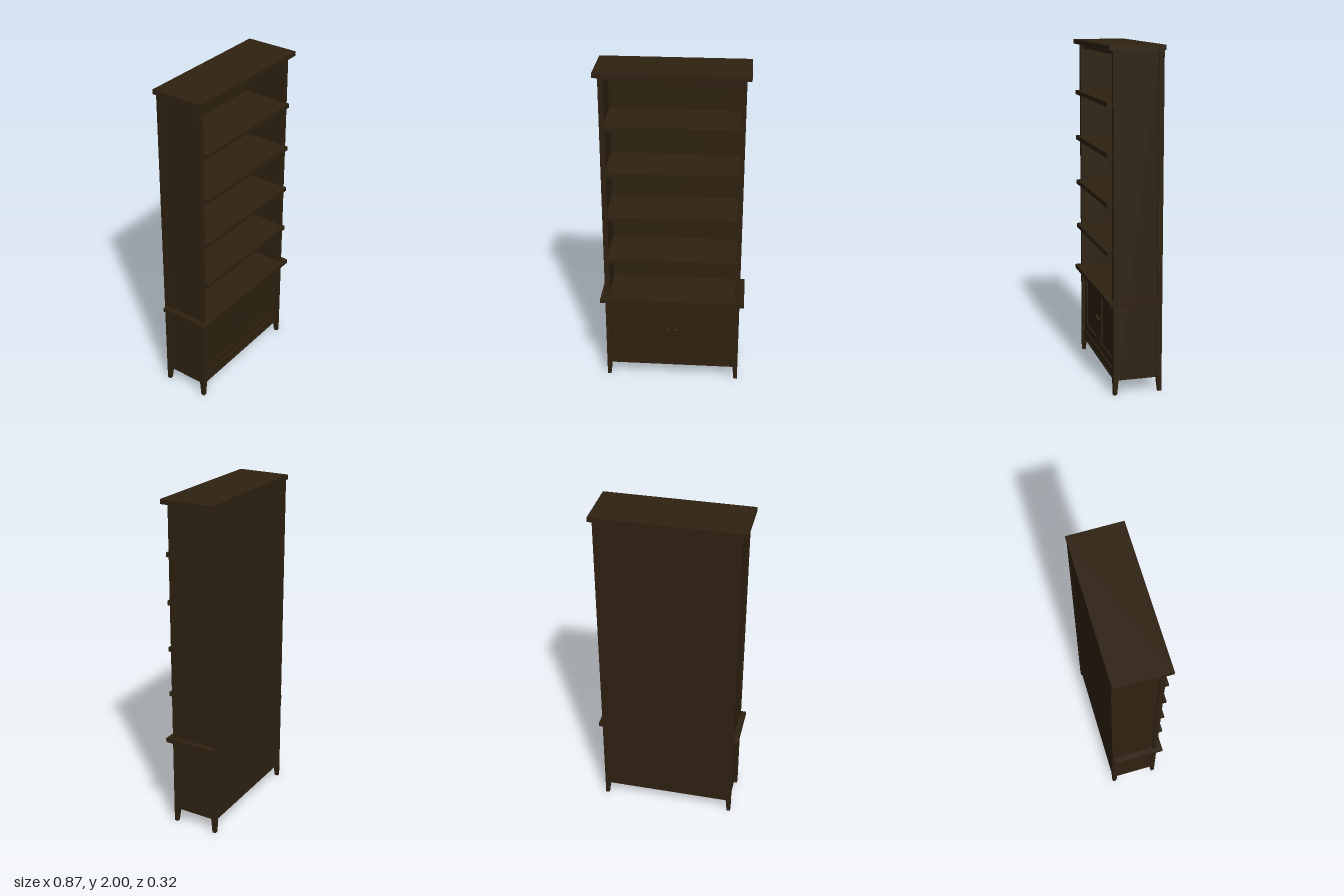
import * as THREE from 'three';

export function createModel() {
  const model = new THREE.Group();
  model.name = 'bookcase';
  const wood = new THREE.MeshStandardMaterial({ color: 0x2e2110 });
  wood.name = 'dark wood';

  const add = (name, geometry, parent = model) => {
    const mesh = new THREE.Mesh(geometry, wood);
    mesh.name = name;
    parent.add(mesh);
    return mesh;
  };
  // Box given by its limits on each axis
  const box = (name, x0, x1, y0, y1, z0, z1, parent = model) => {
    const g = new THREE.BoxGeometry(x1 - x0, y1 - y0, z1 - z0);
    g.translate((x0 + x1) / 2, (y0 + y1) / 2, (z0 + z1) / 2);
    return add(name, g, parent);
  };

  // Corner posts with feet tapered on their inner faces
  const post = 0.03, footTop = 0.085;
  for (const sx of [-1, 1]) {
    for (const front of [true, false]) {
      const x = sx * 0.395, z = front ? 0.115 : -0.145;
      const sz = front ? 1 : -1;
      box('cornerPost', x - post / 2, x + post / 2, footTop, 1.975, z - post / 2, z + post / 2);
      const foot = new THREE.BoxGeometry(post, footTop, post);
      const p = foot.attributes.position;
      for (let i = 0; i < p.count; i++) {
        if (p.getY(i) > 0) continue;
        if (p.getX(i) * sx < 0) p.setX(i, p.getX(i) + sx * 0.008);
        if (p.getZ(i) * sz < 0) p.setZ(i, p.getZ(i) + sz * 0.008);
      }
      foot.computeVertexNormals();
      foot.translate(x, footTop / 2, z);
      add('taperedFoot', foot);
    }
    // Side panel set in between the posts
    const a = sx * 0.387, b = sx * 0.402;
    box('sidePanel', Math.min(a, b), Math.max(a, b), footTop, 1.975, -0.13, 0.1);
  }

  // Carcass
  box('backPanel', -0.38, 0.38, footTop, 1.975, -0.158, -0.143);
  box('bottomBoard', -0.388, 0.388, footTop, 0.1, -0.145, 0.124);
  box('apron', -0.38, 0.38, 0.1, 0.137, 0.1, 0.12);
  box('topRail', -0.38, 0.38, 1.947, 1.975, 0.1, 0.115);
  box('topBoard', -0.437, 0.437, 1.973, 2, -0.16, 0.16);
  box('cabinetTop', -0.437, 0.437, 0.542, 0.567, -0.15, 0.16);

  // Shelves
  for (let i = 0; i < 4; i++) {
    const y = 0.836 + i * 0.281;
    box('shelf', -0.39, 0.39, y - 0.013, y + 0.013, -0.145, 0.16);
  }

  // Framed doors with round knobs
  const knobProfile = [[0, 0], [0.006, 0], [0.006, 0.007], [0.011, 0.01], [0.013, 0.014], [0.01, 0.019], [0, 0.021]]
    .map(([r, h]) => new THREE.Vector2(r, h));
  const y0 = 0.139, y1 = 0.541, stile = 0.048, halfWidth = 0.188;
  for (const sx of [-1, 1]) {
    const door = new THREE.Group();
    door.name = sx > 0 ? 'leftDoor' : 'rightDoor';
    door.position.x = sx * 0.1905;
    model.add(door);
    const outline = new THREE.Shape([
      new THREE.Vector2(-halfWidth, y0), new THREE.Vector2(halfWidth, y0),
      new THREE.Vector2(halfWidth, y1), new THREE.Vector2(-halfWidth, y1)]);
    const w = halfWidth - stile;
    outline.holes.push(new THREE.Path([
      new THREE.Vector2(-w, y0 + stile), new THREE.Vector2(-w, y1 - stile),
      new THREE.Vector2(w, y1 - stile), new THREE.Vector2(w, y0 + stile)]));
    const frame = new THREE.ExtrudeGeometry(outline, { depth: 0.018, bevelEnabled: false });
    frame.translate(0, 0, 0.095);
    add('doorFrame', frame, door);
    box('doorPanel', -w - 0.005, w + 0.005, y0 + 0.04, y1 - 0.04, 0.097, 0.105, door);
    const knob = new THREE.LatheGeometry(knobProfile, 20);
    knob.rotateX(Math.PI / 2);
    knob.translate(-sx * (0.1905 - 0.025), 0.34, 0.112);
    add('knob', knob, door);
  }
  return model;
}
